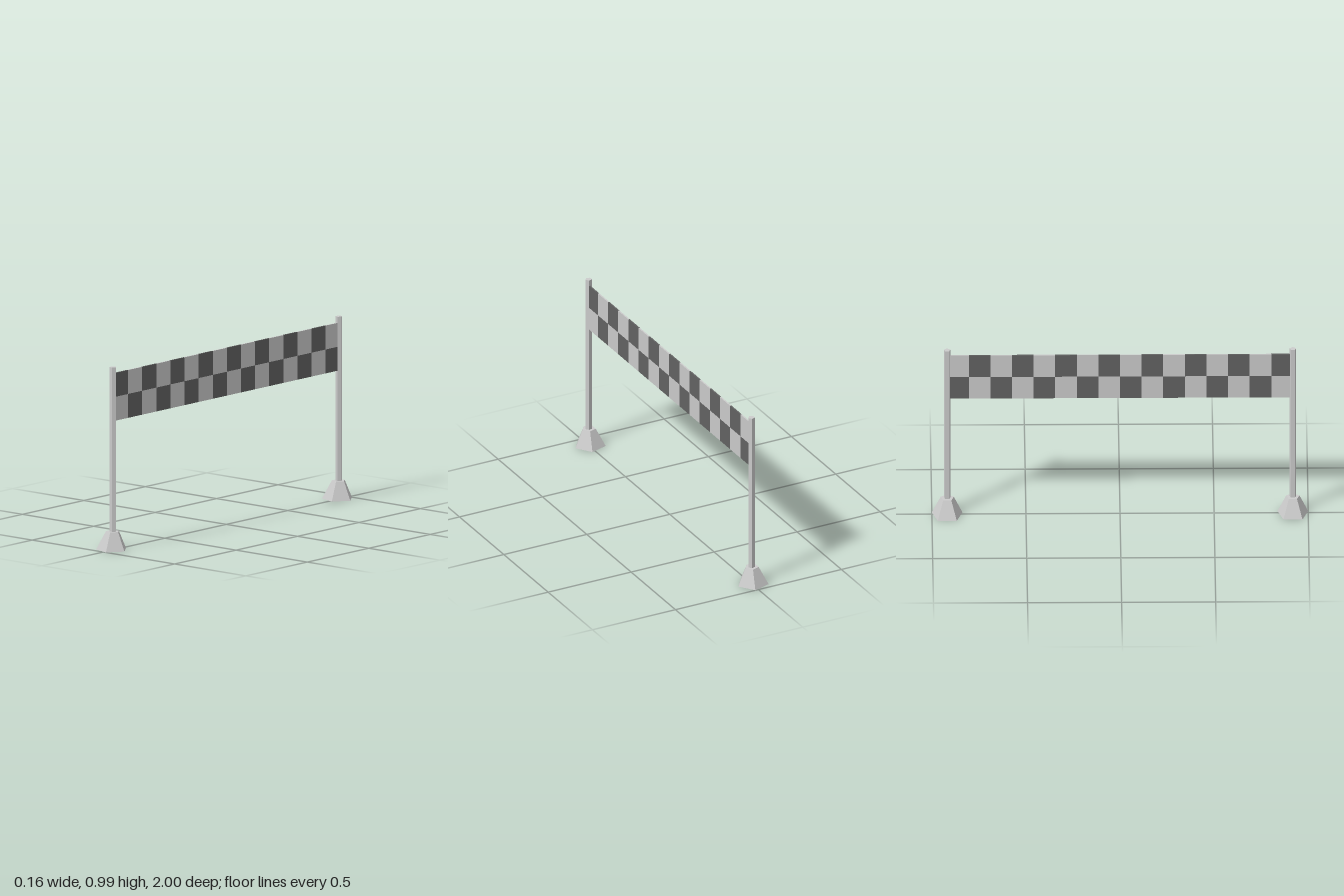
import * as THREE from 'three';

const POST_Z = 0.9185;
const COLUMNS = 16, ROWS = 2;
const BANNER_BOTTOM = 0.698, BANNER_TOP = 0.957, BANNER_THICKNESS = 0.008;

// Five-sided prism or frustum with a corner towards +x, each ring centred on its width
function pentagonPrism(rTop, rBottom, y0, y1) {
  const height = y1 - y0;
  const geo = new THREE.CylinderGeometry(rTop, rBottom, height, 5, 1, false, Math.PI / 2);
  const p = geo.attributes.position;
  const inset = (1 - Math.cos(Math.PI / 5)) / 2;
  for (let i = 0; i < p.count; i++) {
    const r = p.getY(i) > 0 ? rTop : rBottom;
    p.setX(i, p.getX(i) - inset * r);
  }
  geo.translate(0, y0 + height / 2, 0);
  geo.computeVertexNormals();
  return geo;
}

export function createModel() {
  const model = new THREE.Group();
  model.name = 'checkeredBannerGate';

  const grey = new THREE.MeshStandardMaterial({ color: 0xcccccc, flatShading: true });
  const dark = new THREE.MeshStandardMaterial({ color: 0x636363, flatShading: true });

  const add = (parent, name, geo, mat) => {
    const mesh = new THREE.Mesh(geo, mat);
    mesh.name = name;
    parent.add(mesh);
    return mesh;
  };

  // Two posts, each standing in a tapered foot
  const footGeo = pentagonPrism(0.037, 0.0857, 0, 0.1);
  const poleGeo = pentagonPrism(0.0186, 0.0186, 0.09, 0.99);
  for (const side of [1, -1]) {
    const post = new THREE.Group();
    post.name = side > 0 ? 'frontPost' : 'backPost';
    add(post, 'foot', footGeo, grey);
    add(post, 'pole', poleGeo, grey);
    post.position.z = side * POST_Z;
    model.add(post);
  }

  // Checkered banner stretched between the pole centres
  const banner = new THREE.Group();
  banner.name = 'banner';
  const w = (2 * POST_Z) / COLUMNS;
  const h = (BANNER_TOP - BANNER_BOTTOM) / ROWS;
  const checkGeo = new THREE.BoxGeometry(BANNER_THICKNESS, h, w);
  for (let row = 0; row < ROWS; row++) {
    for (let col = 0; col < COLUMNS; col++) {
      const isDark = (row + col) % 2 === 0;
      const check = add(banner, isDark ? 'darkCheck' : 'lightCheck', checkGeo, isDark ? dark : grey);
      check.position.set(0, BANNER_TOP - (row + 0.5) * h, POST_Z - (col + 0.5) * w);
    }
  }
  model.add(banner);

  return model;
}
